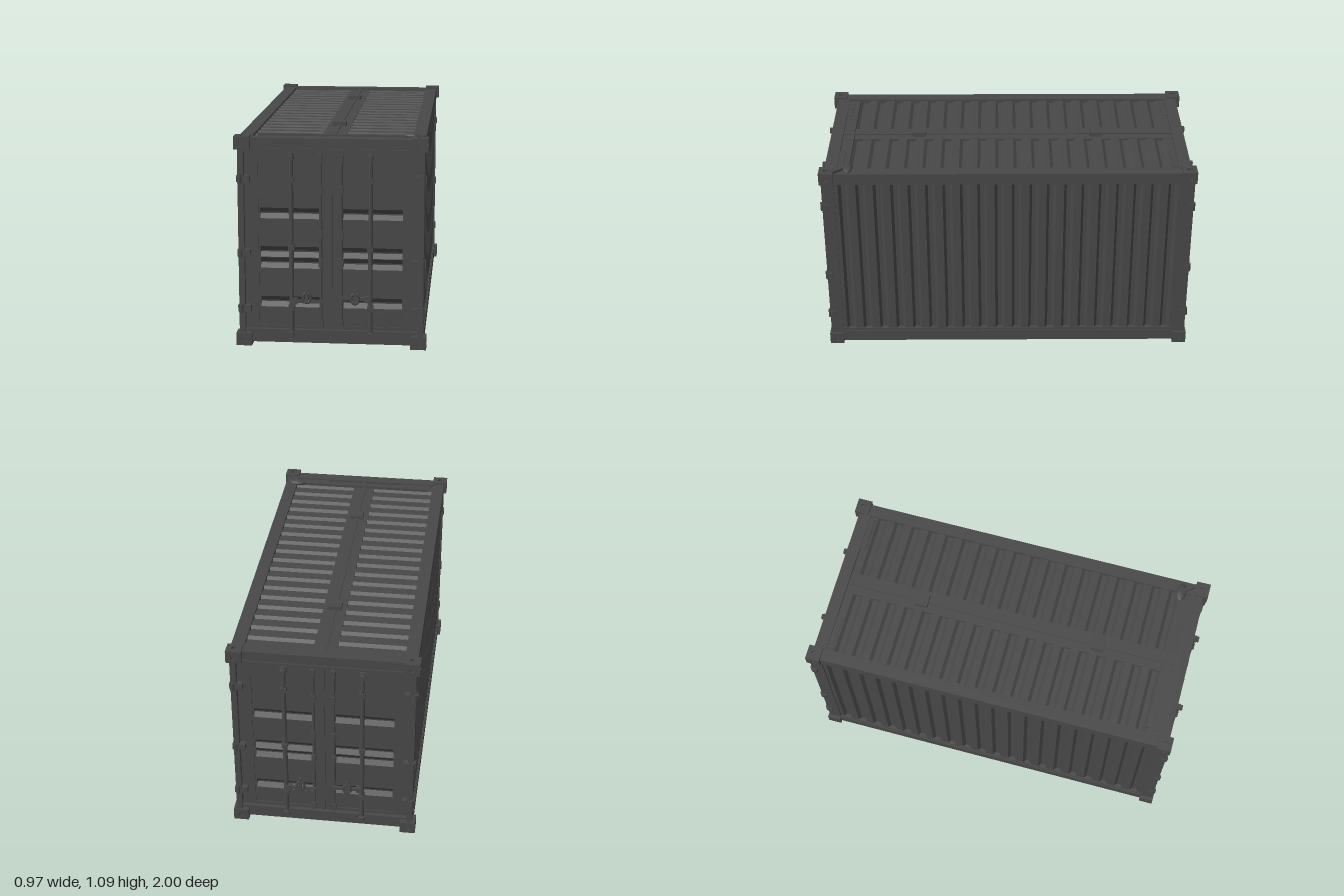
import * as THREE from 'three';

const steel = new THREE.MeshStandardMaterial({ color: 0x484848 });
steel.name = 'darkGreySteel';
const X = new THREE.Vector3(1, 0, 0), Y = new THREE.Vector3(0, 1, 0), Z = new THREE.Vector3(0, 0, 1);
const neg = (v) => v.clone().negate();

function add(parent, name, geometry, x = 0, y = 0, z = 0) {
  const mesh = new THREE.Mesh(geometry, steel);
  mesh.name = name;
  mesh.position.set(x, y, z);
  parent.add(mesh);
  return mesh;
}

// box given by its extents
function box(parent, name, x0, x1, y0, y1, z0, z1) {
  return add(parent, name, new THREE.BoxGeometry(x1 - x0, y1 - y0, z1 - z0),
    (x0 + x1) / 2, (y0 + y1) / 2, (z0 + z1) / 2);
}

// pressed sheet: grooves across u, outward direction v (outer face at 0), extruded along w
function pressedSheet(u0, u1, centers, grooveWidth, slope, depth, width, u, v, w) {
  const s = new THREE.Shape();
  s.moveTo(u0, -depth - 0.012);
  s.lineTo(u1, -depth - 0.012);
  s.lineTo(u1, 0);
  for (const c of [...centers].sort((a, b) => b - a)) {
    s.lineTo(c + grooveWidth / 2, 0);
    s.lineTo(c + grooveWidth / 2 - slope, -depth);
    s.lineTo(c - grooveWidth / 2 + slope, -depth);
    s.lineTo(c - grooveWidth / 2, 0);
  }
  s.lineTo(u0, 0);
  const g = new THREE.ExtrudeGeometry(s, { depth: width, bevelEnabled: false });
  g.translate(0, 0, -width / 2);
  return g.applyMatrix4(new THREE.Matrix4().makeBasis(u, v, w));
}

// plate with an oval hole
function holePlate(w, h, t) {
  const s = new THREE.Shape();
  s.moveTo(-w / 2, -h / 2).lineTo(w / 2, -h / 2).lineTo(w / 2, h / 2).lineTo(-w / 2, h / 2);
  const hole = new THREE.Path();
  hole.absellipse(0, 0, 0.013, 0.016, 0, Math.PI * 2, true);
  s.holes.push(hole);
  return new THREE.ExtrudeGeometry(s, { depth: t, bevelEnabled: false, curveSegments: 8 });
}

// corner casting with holes on its three outer faces
function cornerCasting(sx, sy, sz) {
  const g = new THREE.Group();
  g.name = 'cornerCasting';
  const w = 0.08, h = 0.066, d = 0.075, t = 0.012;
  add(g, 'castingCore', new THREE.BoxGeometry(w - t, h - t, d - t), -sx * t / 2, -sy * t / 2, -sz * t / 2);
  const end = add(g, 'castingEndPlate', holePlate(w, h, t), 0, 0, sz * (d / 2 - t));
  if (sz < 0) end.rotation.y = Math.PI;
  const side = add(g, 'castingSidePlate', holePlate(d, h, t), sx * (w / 2 - t), 0, 0);
  side.rotation.y = sx * Math.PI / 2;
  const cap = add(g, 'castingCapPlate', holePlate(w, d, t), 0, sy * (h / 2 - t), 0);
  cap.rotation.x = -sy * Math.PI / 2;
  g.position.set(sx * 0.445, 0.545 + sy * 0.509, sz * 0.953);
  return g;
}

// roof; turned over it is also the underside (y measured from mid height)
function createRoof(name) {
  const g = new THREE.Group();
  g.name = name;
  const centers = Array.from({ length: 18 }, (_, i) => -0.83 + i * 0.0965);
  for (const s of [-1, 1]) {
    add(g, 'ribbedRoofPanel',
      pressedSheet(-0.92, 0.92, centers.map((c) => -c), 0.056, 0.016, 0.014, 0.35, neg(Z), Y, X), s * 0.232, 0.521, 0);
    const rail = box(g, 'sideRail', -0.033, 0.033, 0.468, 0.531, -0.95, 0.95);
    rail.position.x = s * 0.437;
    for (const z of [-0.89, 0.89])
      add(g, 'liftPlate', new THREE.BoxGeometry(0.18, 0.008, 0.04), s * 0.3, 0.523, z);
  }
  box(g, 'centreSpine', -0.06, 0.06, 0.49, 0.522, -0.95, 0.95);
  box(g, 'centreRidge', -0.011, 0.011, 0.52, 0.528, -0.93, 0.93);
  for (const z of [-0.485, 0.485])
    add(g, 'spinePad', new THREE.BoxGeometry(0.072, 0.03, 0.068), 0, 0.53, z);
  return g;
}

// hinge with plate and pin
function hinge(parent, x, y) {
  const g = new THREE.Group();
  g.name = 'hinge';
  const s = Math.sign(x);
  add(g, 'hingePlate', new THREE.BoxGeometry(0.066, 0.034, 0.03), 0, 0, 0);
  add(g, 'hingePin', new THREE.CylinderGeometry(0.012, 0.012, 0.045, 10), s * 0.018, 0, 0.012);
  g.position.set(x, y, 0.968);
  parent.add(g);
}

// one end wall with its two doors
function createEnd(name) {
  const g = new THREE.Group();
  g.name = name;
  box(g, 'header', -0.42, 0.42, 1.022, 1.078, 0.9, 0.965);
  box(g, 'headerLip', -0.445, 0.445, 1.012, 1.026, 0.9, 0.972);
  box(g, 'sill', -0.42, 0.42, 0.018, 0.078, 0.9, 0.965);
  box(g, 'sillLip', -0.445, 0.445, 0.076, 0.088, 0.9, 0.972);
  for (const s of [-1, 1]) {
    const door = new THREE.Group();
    door.name = s < 0 ? 'rightDoor' : 'leftDoor';
    g.add(door);
    const put = (n, w, h, d, x, y, z) => add(door, n, new THREE.BoxGeometry(w, h, d), s * x, y, z);
    // leaf frame around the pressed panel
    put('doorOuterStile', 0.072, 0.925, 0.045, 0.405, 0.55, 0.93);
    put('doorInnerStile', 0.054, 0.925, 0.045, 0.033, 0.55, 0.93);
    put('doorTopRail', 0.32, 0.065, 0.045, 0.22, 0.98, 0.93);
    put('doorBottomRail', 0.32, 0.02, 0.045, 0.22, 0.095, 0.93);
    add(door, 'doorPanel',
      pressedSheet(0.1, 0.95, [0.69, 0.49, 0.432, 0.228], 0.055, 0.024, 0.018, 0.315, Y, Z, X),
      s * 0.215, 0, 0.946);
    // closed margin at the groove ends
    put('doorPanelMargin', 0.018, 0.85, 0.02, 0.369, 0.525, 0.936);
    // outer and inner locking rods with keepers
    add(door, 'lockingRod', new THREE.CylinderGeometry(0.012, 0.012, 0.95, 10), s * 0.2, 0.53, 0.97);
    add(door, 'innerRod', new THREE.CylinderGeometry(0.008, 0.008, 0.86, 8), s * 0.052, 0.54, 0.96);
    for (const y of [0.065, 0.21, 0.52, 0.87, 0.985])
      put('rodKeeper', 0.03, 0.024, 0.04, 0.2, y, 0.968);
    for (const y of [0.12, 0.44, 0.59, 0.82, 0.98])
      put('innerRodKeeper', 0.022, 0.04, 0.028, 0.052, y, 0.96);
    put('rodCam', 0.022, 0.028, 0.02, 0.2, 0.07, 0.99);
    put('rodCam', 0.022, 0.028, 0.02, 0.2, 0.985, 0.99);
    // handle bar and latch
    const hy = s < 0 ? 0.24 : 0.26;
    put('handleBar', 0.15, 0.016, 0.014, 0.115, hy, 0.975);
    const ring = add(door, 'latchRing', new THREE.TorusGeometry(0.02, 0.007, 6, 14), s * 0.122, 0.262, 0.982);
    ring.scale.y = 1.3;
    put('latchHasp', 0.014, 0.075, 0.014, 0.122, 0.275, 0.983);
    put('handleHub', 0.03, 0.03, 0.03, 0.185, hy, 0.972);
  }
  box(g, 'doorGasket', -0.006, 0.006, 0.09, 1.012, 0.92, 0.964);
  for (const y of [0.87, 0.487, 0.197]) hinge(g, -0.441, y);
  for (const y of [0.88, 0.447, 0.197]) hinge(g, 0.446, y);
  return g;
}

export function createModel() {
  const model = new THREE.Group();
  model.name = 'shippingContainer';

  // corrugated side walls
  const grooves = Array.from({ length: 20 }, (_, i) => (i - 9.5) * 0.0915);
  for (const s of [-1, 1]) {
    add(model, s > 0 ? 'leftWall' : 'rightWall',
      pressedSheet(-0.93, 0.93, grooves, 0.05, 0.014, 0.018, 0.97,
        Z.clone().multiplyScalar(s), X.clone().multiplyScalar(s), Y), s * 0.461, 0.555, 0);
    for (const y of [0.084, 1.02])
      add(model, 'wallEdgeStrip', new THREE.BoxGeometry(0.03, 0.016, 1.86), s * 0.45, y, 0);
  }

  // corner posts and castings
  for (const sx of [-1, 1]) for (const sz of [-1, 1]) {
    add(model, 'cornerPost', new THREE.BoxGeometry(0.03, 0.98, 0.068), sx * 0.453, 0.545, sz * 0.948);
    for (const sy of [-1, 1]) model.add(cornerCasting(sx, sy, sz));
  }

  // roof and underside
  const roof = createRoof('roof');
  roof.position.y = 0.545;
  const floor = createRoof('underside');
  floor.position.y = 0.545;
  floor.rotation.z = Math.PI;
  model.add(roof, floor);

  // doors at both ends
  const front = createEnd('frontEnd');
  const back = createEnd('backEnd');
  back.rotation.y = Math.PI;
  model.add(front, back);

  // bar with a knob lying on the roof near the front
  box(model, 'roofBar', -0.38, 0.4, 1.064, 1.08, 0.837, 0.853);
  const knob = add(model, 'roofBarKnob', new THREE.SphereGeometry(0.04, 12, 8), 0.405, 1.078, 0.845);
  knob.scale.set(1.3, 0.4, 0.7);
  const stay = add(model, 'roofBarStay', new THREE.BoxGeometry(0.09, 0.014, 0.016), 0.435, 1.085, 0.885);
  stay.rotation.y = -0.9;
  return model;
}
